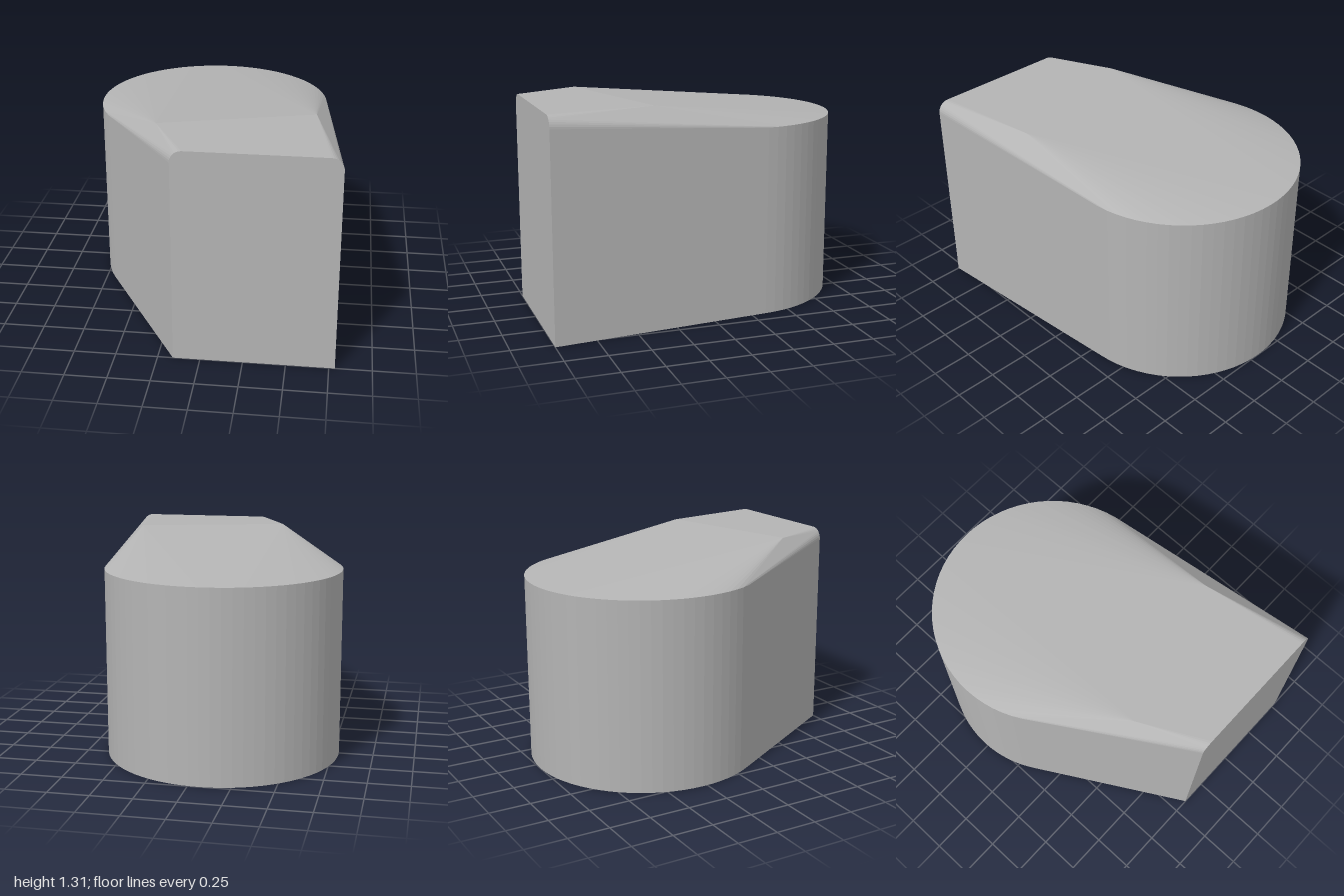
import * as THREE from 'three';
import { ConvexGeometry } from 'three/addons/geometries/ConvexGeometry.js';

export function createModel() {
  const group = new THREE.Group();
  const grey = new THREE.MeshStandardMaterial({ color: 0xb4b4b4 });
  grey.name = 'plain grey';

  const points = [];
  const add = (x, y, z) => points.push(new THREE.Vector3(x, y, z));

  // Round rear column
  const segments = 72, radius = 0.722;
  for (let i = 0; i < segments; i++) {
    const a = (i / segments) * Math.PI * 2;
    const x = -0.068 + radius * Math.cos(a), z = -0.278 + radius * Math.sin(a);
    add(x, 0, z);
    add(x, 1.15, z);
  }

  // Flat front face with rounded upper corners
  const left = 0.785, right = -0.16, top = 1.31, corner = 0.07;
  add(left, 0, 1);
  add(right, 0, 1);
  for (let i = 0; i <= 8; i++) {
    const a = (i / 8) * Math.PI / 2;
    const dx = corner * (1 - Math.cos(a)), y = top - corner * (1 - Math.sin(a));
    add(left - dx, y, 1);
    add(right + dx, y, 1);
  }

  // Slanted ridge where the level top starts to slope down to the rear
  add(-0.3, top, 0.6);
  add(0.61, top, 0.35);

  // The solid is the smallest convex skin around these sections
  const body = new THREE.Mesh(new ConvexGeometry(points), grey);
  body.name = 'body';
  group.add(body);
  return group;
}
